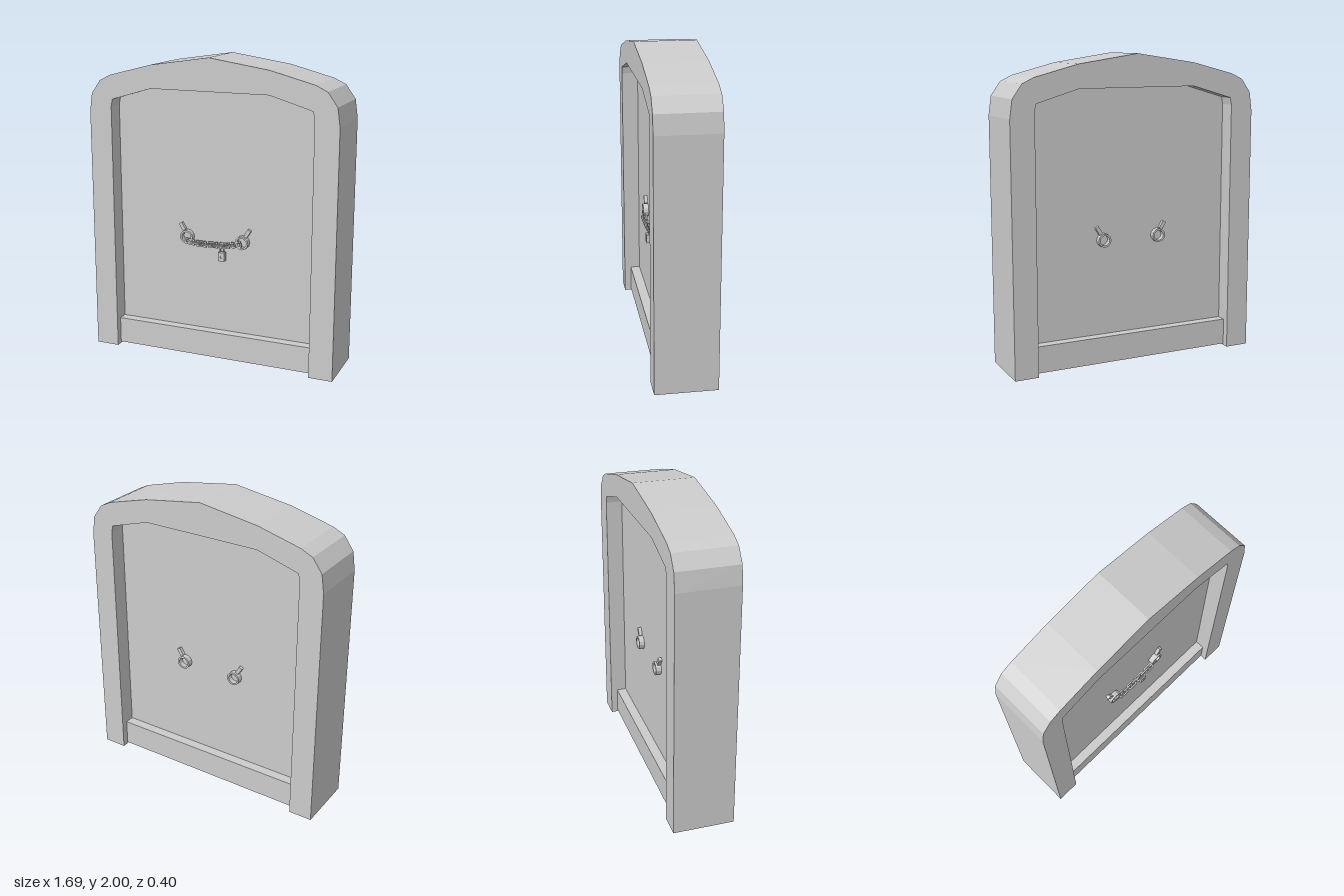
import * as THREE from 'three';

const material = new THREE.MeshStandardMaterial({ color: 0xcccccc, flatShading: true });

function addMesh(parent, name, geometry, x = 0, y = 0, z = 0) {
  const mesh = new THREE.Mesh(geometry, material);
  mesh.name = name;
  mesh.position.set(x, y, z);
  parent.add(mesh);
  return mesh;
}

// Right half of an outline, from bottom to top, mirrored to the left
function mirrored(half) {
  const left = half.filter(([x]) => x > 0).map(([x, y]) => [-x, y]).reverse();
  return [...half, ...left].map(([x, y]) => new THREE.Vector2(x, y));
}

// Extrusion centred on z = 0
function extrude(shape, depth) {
  return new THREE.ExtrudeGeometry(shape, { depth, bevelEnabled: false, curveSegments: 6 })
    .translate(0, 0, -depth / 2);
}

function rectanglePoints(w, h) {
  return [[-w, -h], [w, -h], [w, h], [-w, h]].map(([x, y]) => new THREE.Vector2(x / 2, y / 2));
}

// Flat rectangular loop with a hole
function linkGeometry(length, height, bar, depth) {
  const shape = new THREE.Shape(rectanglePoints(length, height));
  shape.holes.push(new THREE.Path(rectanglePoints(length - 2 * bar, height - 2 * bar)));
  return extrude(shape, depth);
}

// Collar ring with a short bar pointing up and outwards
function makeRing(side, z) {
  const ring = new THREE.Group();
  ring.name = 'chainRing';
  ring.position.set(side * 0.195, 0.815, z);
  const shape = new THREE.Shape().absarc(0, 0, 0.045, 0, Math.PI * 2);
  shape.holes.push(new THREE.Path().absarc(0, 0, 0.033, 0, Math.PI * 2));
  addMesh(ring, 'ringCollar', extrude(shape, 0.05));
  const bar = addMesh(ring, 'ringBar', new THREE.BoxGeometry(0.024, 0.055, 0.024), side * 0.034, 0.064, 0);
  bar.rotation.z = -side * 0.55;
  return ring;
}

function makePadlock() {
  const lock = new THREE.Group();
  lock.name = 'padlock';
  lock.position.set(0.058, 0.71, 0.12);
  // Body with a keyhole recess
  const face = new THREE.Shape(rectanglePoints(0.044, 0.058));
  const keyhole = new THREE.Path().absarc(0, 0, 0.008, 0, Math.PI * 2);
  face.holes.push(keyhole);
  addMesh(lock, 'lockBody', extrude(face, 0.034));
  addMesh(lock, 'lockCore', new THREE.BoxGeometry(0.03, 0.04, 0.02));
  // Shackle
  const arch = new THREE.CatmullRomCurve3([
    [-0.012, 0.025], [-0.012, 0.07], [0, 0.084], [0.012, 0.07], [0.012, 0.025],
  ].map(([x, y]) => new THREE.Vector3(x, y, 0)));
  addMesh(lock, 'lockShackle', new THREE.TubeGeometry(arch, 12, 0.005, 6));
  return lock;
}

export function createModel() {
  const model = new THREE.Group();
  model.name = 'chainedDoor';

  // Arched frame, open at the bottom
  const outer = mirrored([[0.845, 0], [0.845, 1.62], [0.828, 1.74], [0.765, 1.828],
    [0.688, 1.865], [0.4, 1.94], [0, 2]]);
  const inner = mirrored([[0.688, 0], [0.688, 1.66], [0.678, 1.708], [0.4, 1.79]]);
  const frame = new THREE.Shape([...outer, ...inner.slice().reverse()]);
  addMesh(model, 'frame', extrude(frame, 0.4));

  // Recessed door panel, visible from both sides
  const panel = mirrored([[0.688, 0.01], [0.688, 1.66], [0.678, 1.708], [0.4, 1.79]]);
  addMesh(model, 'panel', extrude(new THREE.Shape(panel), 0.18));

  // Kick board across the foot of the door
  addMesh(model, 'kickBoard', new THREE.BoxGeometry(1.376, 0.175, 0.31), 0, 0.0975, 0);

  // Rings on both faces
  for (const side of [-1, 1]) {
    for (const z of [0.1, -0.1]) model.add(makeRing(side, z));
  }

  // Chain of alternating flat and upright links
  const chain = new THREE.Group();
  chain.name = 'chain';
  const path = new THREE.CatmullRomCurve3([
    [-0.19, 0.788], [-0.1, 0.78], [0, 0.782], [0.1, 0.79], [0.18, 0.805],
  ].map(([x, y]) => new THREE.Vector3(x, y, 0.122)));
  const link = linkGeometry(0.068, 0.04, 0.009, 0.01);
  const count = 9;
  for (let i = 0; i < count; i++) {
    const t = (i + 0.5) / count;
    const p = path.getPointAt(t);
    const d = path.getTangentAt(t);
    const mesh = addMesh(chain, 'chainLink', link, p.x, p.y, p.z);
    mesh.rotation.set(i % 2 ? Math.PI / 2 : 0, 0, Math.atan2(d.y, d.x), 'ZYX');
  }
  model.add(chain);
  model.add(makePadlock());
  return model;
}
